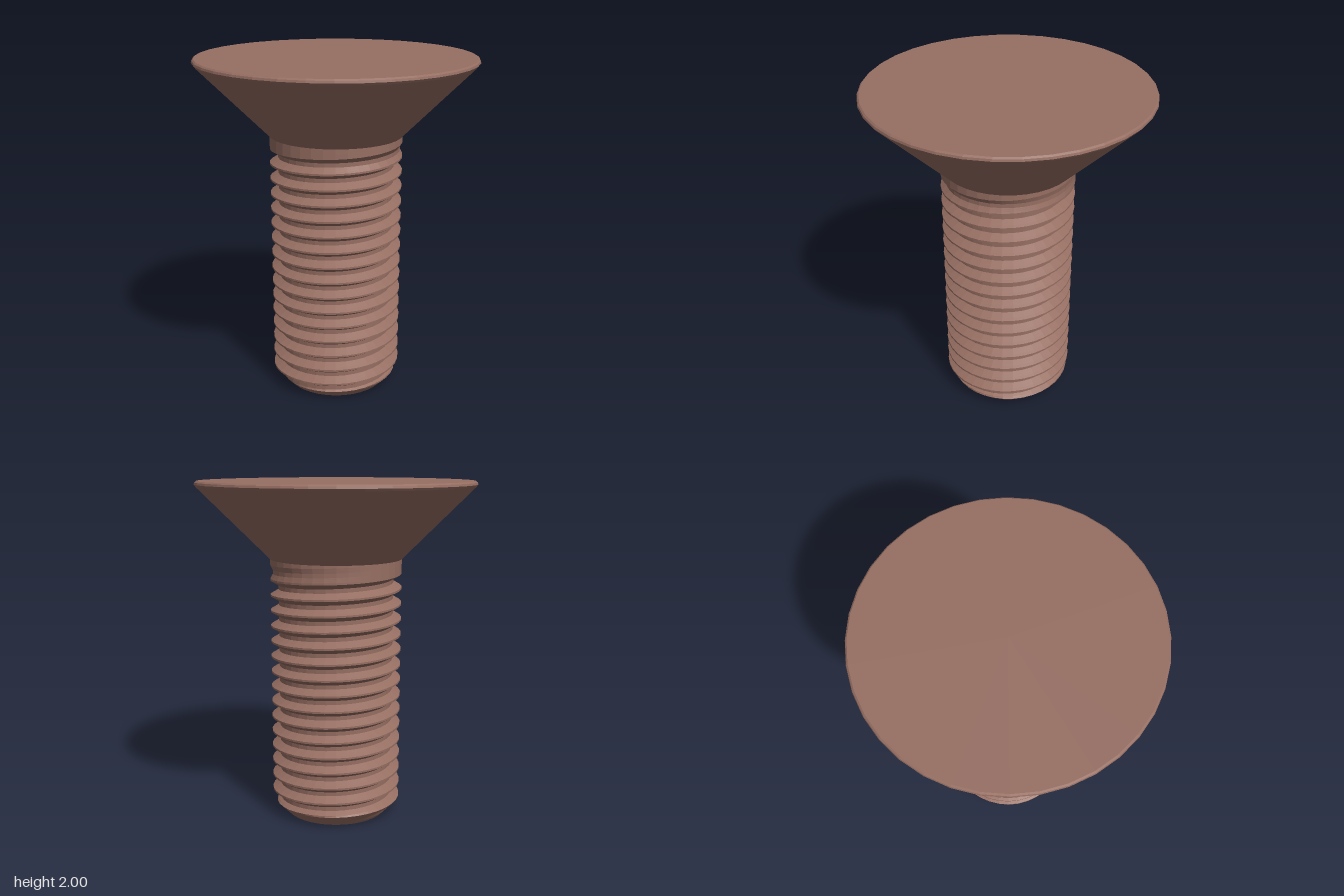
import * as THREE from 'three';

const SIDES = 36;
const SHANK_R = 0.388, ROOT_R = 0.34, TIP_R = 0.3;
const SHANK_TOP = 1.55, PITCH = 0.0919, FIRST_GROOVE = 0.058;

// Unshared vertices give crisp facets
function faceted(geometry) {
  const flat = geometry.index ? geometry.toNonIndexed() : geometry;
  flat.computeVertexNormals();
  return flat;
}

// One groove: [height in pitches from its centre, share of full depth]
const groove = [
  [-0.44, 0], [-0.34, 1 / 3], [-0.235, 2 / 3], [-0.13, 1],
  [0.13, 1], [0.235, 2 / 3], [0.34, 1 / 3], [0.44, 0],
];

// Helical rows of the groove profile, clipped to the shank and the tip chamfer
function threadedShank() {
  const rows = [];
  for (let k = -3; k <= 18; k++) {
    for (const [offset, depth] of groove) rows.push({ k, offset, depth });
  }
  const point = ({ k, offset, depth }, j) => {
    const turn = j / SIDES, angle = turn * Math.PI * 2;
    const y = THREE.MathUtils.clamp(FIRST_GROOVE + PITCH * (k + turn + offset), 0, SHANK_TOP);
    // The last groove runs out over three quarters of a turn
    const fade = THREE.MathUtils.clamp((k + turn - 15) / 0.75, 0, 1);
    const cut = (SHANK_R - ROOT_R) * depth * Math.pow(1 - fade, 1.5);
    const r = Math.min(SHANK_R - cut, TIP_R + y);
    return new THREE.Vector3(-Math.cos(angle) * r, y, Math.sin(angle) * r);
  };
  const positions = [];
  const triangle = new THREE.Triangle();
  const addFace = (a, b, c) => {
    if (triangle.set(a, b, c).getArea() < 1e-8) return;
    for (const p of [a, b, c]) positions.push(p.x, p.y, p.z);
  };
  for (let i = 0; i < rows.length - 1; i++) {
    for (let j = 0; j < SIDES; j++) {
      const a = point(rows[i], j), b = point(rows[i], j + 1);
      const c = point(rows[i + 1], j + 1), d = point(rows[i + 1], j);
      addFace(a, b, c);
      addFace(a, c, d);
    }
  }
  const geometry = new THREE.BufferGeometry();
  geometry.setAttribute('position', new THREE.Float32BufferAttribute(positions, 3));
  return geometry;
}

export function createModel() {
  const model = new THREE.Group();
  model.name = 'countersunkScrew';
  const metal = new THREE.MeshStandardMaterial({ color: 0x966e62 });
  metal.name = 'brown metal';

  const add = (name, geometry) => {
    const mesh = new THREE.Mesh(faceted(geometry), metal);
    mesh.name = name;
    model.add(mesh);
    return mesh;
  };

  // Conical head with a softened rim and flat top
  const headProfile = [
    [SHANK_R, SHANK_TOP], [0.805, 1.967], [0.815, 1.98],
    [0.812, 1.992], [0.803, 2], [0, 2],
  ].map(([r, y]) => new THREE.Vector2(r, y));
  add('head', new THREE.LatheGeometry(headProfile, SIDES));

  // Threaded shank with chamfered tip
  add('threadedShank', threadedShank());

  // Flat end of the tip
  add('tipFace', new THREE.CircleGeometry(TIP_R, SIDES).rotateX(Math.PI / 2));

  return model;
}
